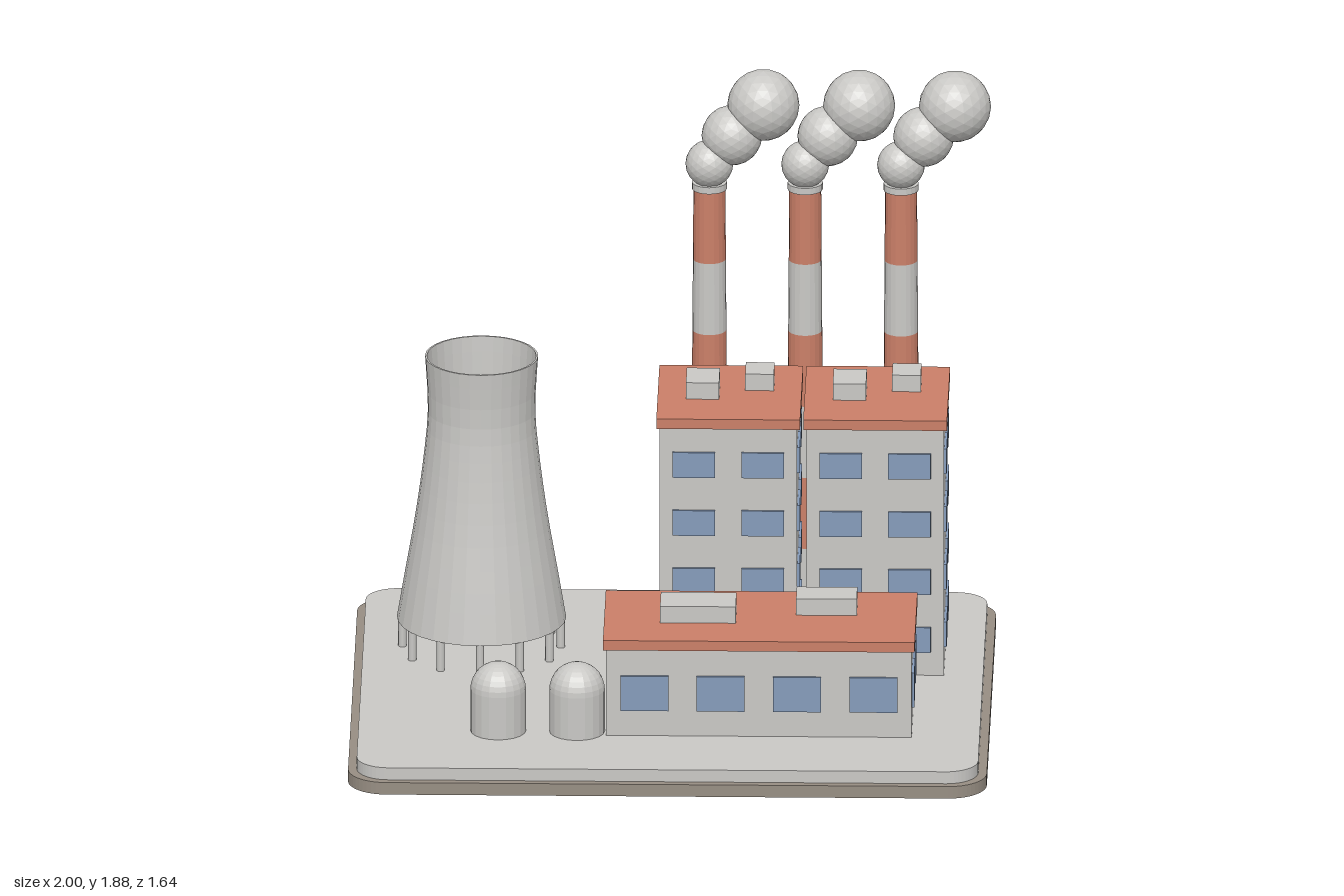
import * as THREE from 'three';

const material = (name, color) => Object.assign(new THREE.MeshStandardMaterial({ color }), { name });

export function createModel() {
  const model = new THREE.Group();
  model.name = 'powerPlant';
  const grey = material('lightGrey', 0xc9c8c5);
  const red = material('terracotta', 0xca7f68);
  const blue = material('windowBlue', 0x859bba);
  const stone = material('stoneBrown', 0x978e83);

  const add = (parent, name, geometry, mat, x = 0, y = 0, z = 0) => {
    const mesh = new THREE.Mesh(geometry, mat);
    mesh.name = name;
    mesh.position.set(x, y, z);
    parent.add(mesh);
    return mesh;
  };
  const group = (name, x = 0, y = 0, z = 0) => {
    const g = new THREE.Group();
    g.name = name;
    g.position.set(x, y, z);
    model.add(g);
    return g;
  };
  // Faceted look: every face gets its own normal
  const faceted = (geometry) => {
    const g = geometry.index ? geometry.toNonIndexed() : geometry;
    g.computeVertexNormals();
    return g;
  };

  // Ground slabs with rounded corners
  const slab = (name, hx, hz, r, y, h, mat) => {
    const s = new THREE.Shape();
    s.absarc(hx - r, hz - r, r, 0, Math.PI / 2);
    s.absarc(-hx + r, hz - r, r, Math.PI / 2, Math.PI);
    s.absarc(-hx + r, -hz + r, r, Math.PI, Math.PI * 1.5);
    s.absarc(hx - r, -hz + r, r, Math.PI * 1.5, Math.PI * 2);
    const g = new THREE.ExtrudeGeometry(s, { depth: h, bevelEnabled: false, curveSegments: 6 });
    add(model, name, g.rotateX(-Math.PI / 2), mat, 0, y, 0);
  };
  slab('baseSlab', 1, 0.82, 0.12, 0, 0.04, stone);
  slab('groundSlab', 0.973, 0.795, 0.1, 0.04, 0.04, grey);

  // Building: walls, overhanging roof, windows on front and right, rooftop units
  const T = 0.008;
  const building = (name, o) => {
    const b = group(name, o.x, 0.08, o.z);
    add(b, 'walls', new THREE.BoxGeometry(o.w, o.h, o.d), grey, 0, o.h / 2, 0);
    add(b, 'roof', new THREE.BoxGeometry(o.w + 0.02, 0.033, o.d + 0.02), red, 0, o.h + 0.0165, 0);
    for (const y of o.rows) {
      for (let i = 0; i < o.cols; i++) {
        const x = ((i + 0.5) / o.cols - 0.5) * o.w;
        add(b, 'frontWindow', new THREE.BoxGeometry(o.winW, o.winH, T), blue, x, y - 0.08, o.d / 2 + T / 2);
      }
      for (const s of [-1, 1]) {
        add(b, 'sideWindow', new THREE.BoxGeometry(T, o.winH, o.winD), blue,
          o.w / 2 + T / 2, y - 0.08, s * o.d / 4);
      }
    }
    for (const [x, z, w, d] of o.units) {
      add(b, 'roofUnit', new THREE.BoxGeometry(w, 0.055, d), grey, x, o.h + 0.033 + 0.0275, z);
    }
  };
  for (const x of [0.175, 0.635]) {
    building('tallBlock', {
      x, z: -0.288, w: 0.43, h: 0.822, d: 0.46, cols: 2, rows: [0.2, 0.393, 0.586, 0.78],
      winW: 0.133, winH: 0.084, winD: 0.143,
      units: [[-0.084, -0.004, 0.104, 0.133], [0.093, -0.07, 0.09, 0.106]],
    });
  }
  building('lowHall', {
    x: 0.282, z: 0.281, w: 0.956, h: 0.288, d: 0.425, cols: 4, rows: [0.223],
    winW: 0.15, winH: 0.116, winD: 0.133,
    units: [[-0.194, -0.002, 0.237, 0.128], [0.207, -0.067, 0.19, 0.107]],
  });

  // Striped chimneys, each with three puffs of smoke
  const bandH = 1.422 / 6;
  const radiusAt = (i) => 0.06 - 0.01 * i / 6;
  const puffs = [[0, 1.583, 0, 0.075], [0.07, 1.67, -0.02, 0.095], [0.168, 1.765, -0.039, 0.113]];
  for (const x of [0.105, 0.405, 0.705]) {
    const c = group('chimney', x, 0, -0.6);
    for (let i = 0; i < 6; i++) {
      add(c, 'chimneyBand', faceted(new THREE.CylinderGeometry(radiusAt(i + 1), radiusAt(i), bandH, 20)),
        i % 2 ? red : grey, 0, 0.08 + bandH * (i + 0.5), 0);
    }
    add(c, 'chimneyRim', faceted(new THREE.CylinderGeometry(0.055, 0.055, 0.022, 20)), grey, 0, 1.511, 0);
    for (const [px, py, pz, r] of puffs) {
      add(c, 'smokePuff', faceted(new THREE.IcosahedronGeometry(r, 3)), grey, px, py, pz);
    }
  }

  // Cooling tower: thin curved shell standing on a ring of legs
  const tower = group('coolingTower', -0.602, 0, -0.287);
  const curve = new THREE.SplineCurve([
    [0.265, 0.18], [0.24, 0.33], [0.206, 0.53], [0.181, 0.72], [0.168, 0.88], [0.177, 1.053],
  ].map(([r, y]) => new THREE.Vector2(r, y)));
  const outer = curve.getPoints(14);
  const inner = outer.map((p) => new THREE.Vector2(p.x - 0.006, p.y)).reverse();
  add(tower, 'towerShell', faceted(new THREE.LatheGeometry([...outer, ...inner, outer[0]], 32)), grey);
  for (let i = 0; i < 12; i++) {
    const a = i * Math.PI / 6;
    add(tower, 'towerLeg', new THREE.CylinderGeometry(0.013, 0.013, 0.11, 8), grey,
      Math.cos(a) * 0.248, 0.135, Math.sin(a) * 0.248);
  }

  // Domed storage tanks
  for (const x of [-0.535, -0.288]) {
    const t = group('storageTank', x, 0, 0.455);
    add(t, 'tankBody', faceted(new THREE.CylinderGeometry(0.087, 0.087, 0.14, 20)), grey, 0, 0.15, 0);
    add(t, 'tankDome', faceted(new THREE.SphereGeometry(0.087, 20, 8, 0, Math.PI * 2, 0, Math.PI / 2)),
      grey, 0, 0.22, 0);
  }
  return model;
}
